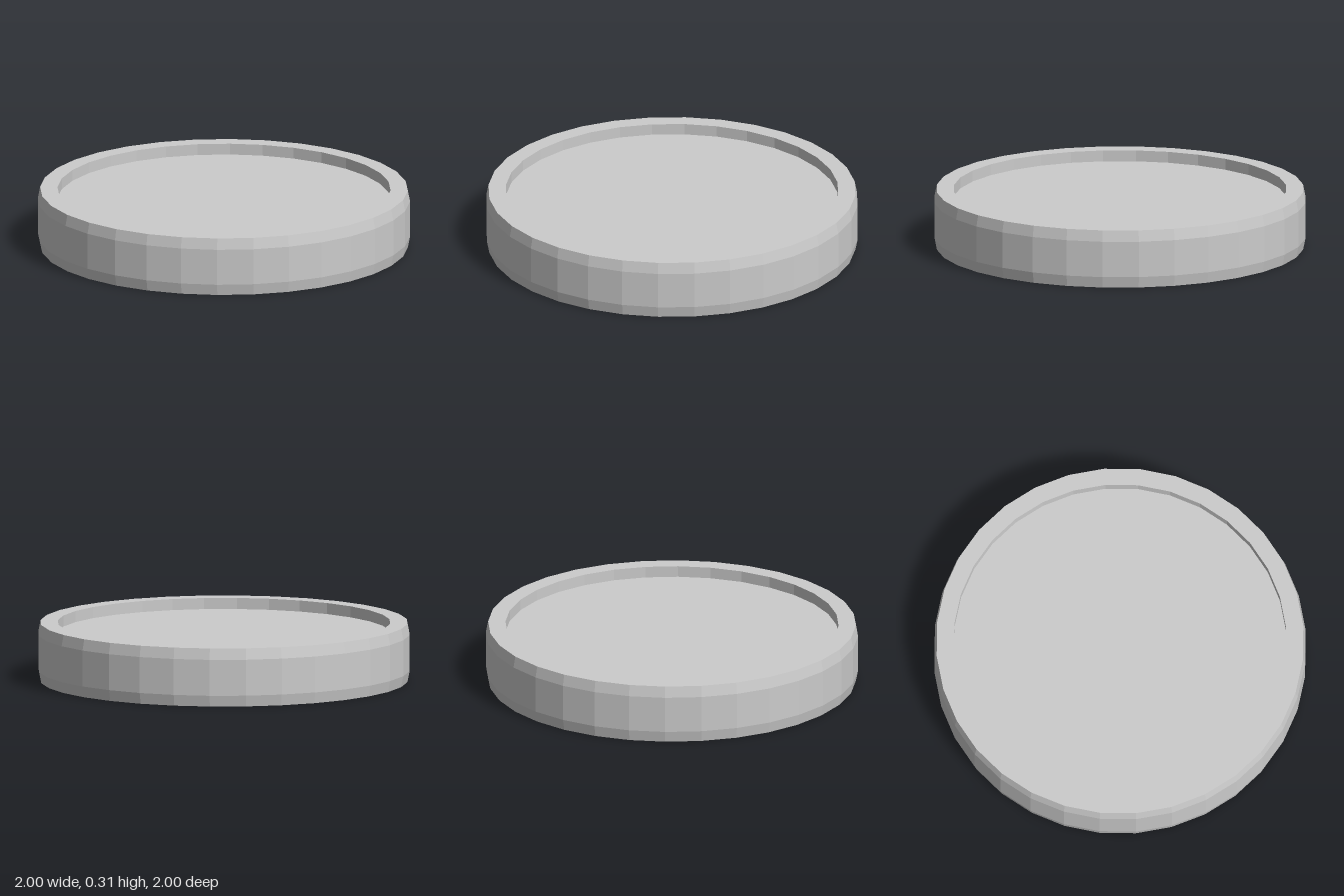
import * as THREE from 'three';

const SIDES = 32;
const HEIGHT = 0.315;
const INNER = 0.895;
const RECESS = 0.06;

export function createModel() {
  const group = new THREE.Group();
  group.name = 'recessedDisc';
  const material = new THREE.MeshStandardMaterial({ color: 0xcccccc, flatShading: true });

  // Raised rim: inner wall below, bevelled outside, inner wall above
  const profile = [
    [INNER, RECESS],
    [INNER, 0],
    [0.988, 0],
    [1, RECESS],
    [1, HEIGHT - RECESS],
    [0.988, HEIGHT],
    [INNER, HEIGHT],
    [INNER, HEIGHT - RECESS],
  ].map(([r, y]) => new THREE.Vector2(r, y));
  const rim = new THREE.Mesh(new THREE.LatheGeometry(profile, SIDES), material);
  rim.name = 'rim';
  group.add(rim);

  // Recessed faces on the top and the underside
  for (const [name, y, turn] of [
    ['topFace', HEIGHT - RECESS, -Math.PI / 2],
    ['bottomFace', RECESS, Math.PI / 2],
  ]) {
    const face = new THREE.Mesh(new THREE.CircleGeometry(INNER, SIDES), material);
    face.name = name;
    face.position.y = y;
    face.rotation.x = turn;
    group.add(face);
  }
  return group;
}
